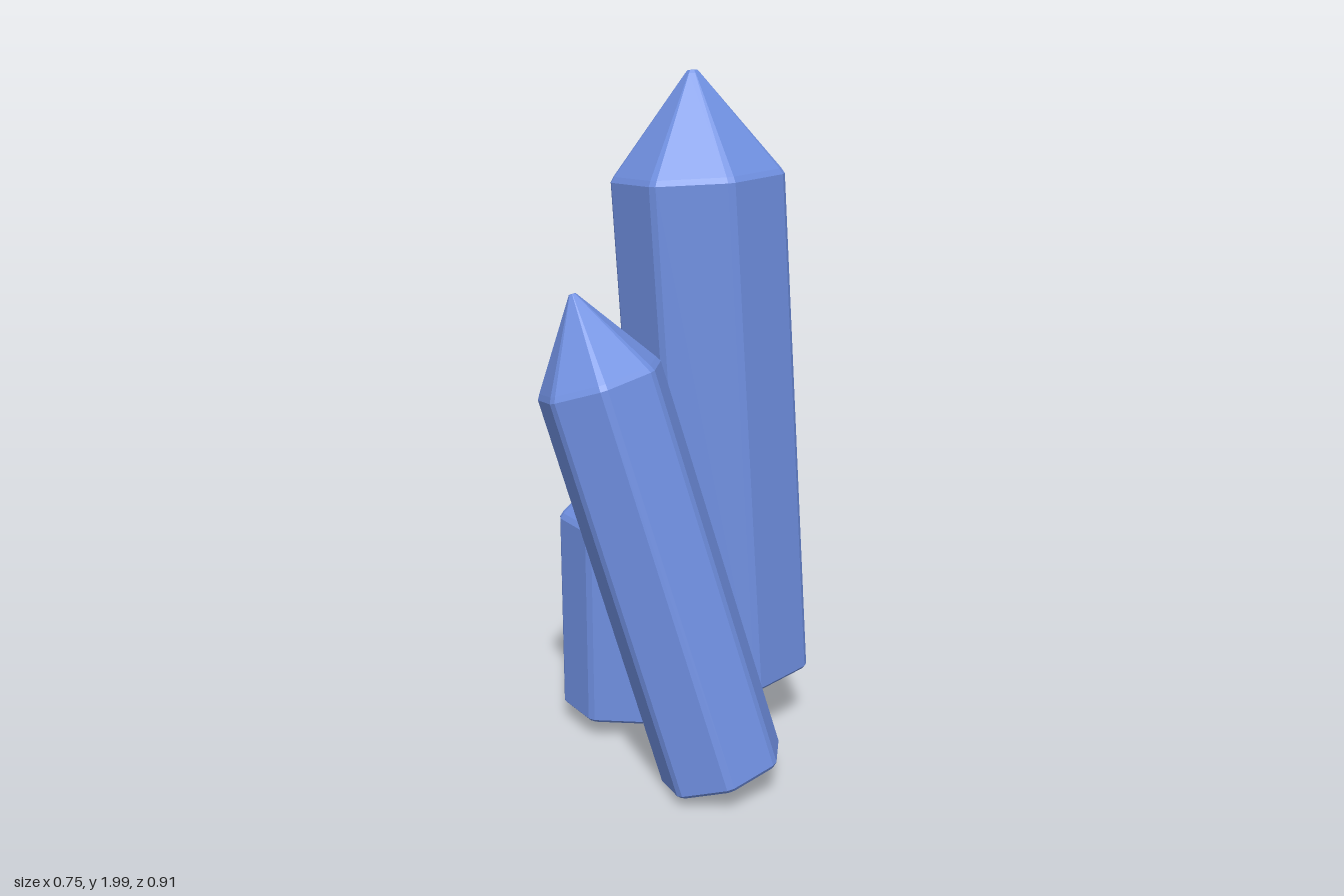
import * as THREE from 'three';

const SIDES = 7;

// Seven-sided outline of radius 1 with each corner clipped by a narrow bevel
function outline(bevel, phase) {
  const corner = i => new THREE.Vector2().setFromUnitLength
    ? null
    : new THREE.Vector2(Math.sin(phase + i * 2 * Math.PI / SIDES), Math.cos(phase + i * 2 * Math.PI / SIDES));
  const edge = 2 * Math.sin(Math.PI / SIDES), pts = [];
  for (let i = 0; i < SIDES; i++) {
    const c = corner(i);
    pts.push(c.clone().lerp(corner(i - 1), bevel / edge), c.clone().lerp(corner(i + 1), bevel / edge));
  }
  return pts;
}

// Pointed prism along +y: rings of the outline joined by quads, closed at both ends
function crystalGeometry(radius, length, tip, phase, squashX) {
  const section = outline(0.012 / radius, phase), n = section.length;
  const b = 0.01;
  const rings = [
    [0, 0], [0, 1 - b / radius], [b, 1],                          // beveled base
    [length - b, 1], [length + b * 0.6, 1 - b / radius],          // beveled shoulder
    [length + tip - 0.008, 0.085], [length + tip, 0.055], [length + tip, 0], // blunt tip
  ];
  const pos = [], index = [];
  for (const [y, s] of rings)
    for (const p of section) pos.push(p.x * radius * s * squashX, y, p.y * radius * s);
  for (let r = 0; r < rings.length - 1; r++)
    for (let i = 0; i < n; i++) {
      const a = r * n + i, c = r * n + (i + 1) % n;
      if (r > 0) index.push(a, c, a + n);
      if (r < rings.length - 2) index.push(c, c + n, a + n);
    }
  const g = new THREE.BufferGeometry();
  g.setAttribute('position', new THREE.Float32BufferAttribute(pos, 3));
  g.setIndex(index);
  g.computeVertexNormals();
  return g;
}

export function createModel() {
  const group = new THREE.Group();
  group.name = 'crystalCluster';
  const material = new THREE.MeshStandardMaterial({ color: 0x6f8fe0, flatShading: true });

  // Each crystal runs from the centre of its base to the centre of its shoulder
  const crystals = [
    { name: 'tallCrystal', base: [0.125, 0.185, -0.202], shoulder: [0.032, 1.71, -0.202], radius: 0.26, tip: 0.29, phase: Math.PI, squashX: 1 },
    { name: 'leaningCrystal', base: [0.145, 0.058, 0.26], shoulder: [-0.207, 1.19, 0.205], radius: 0.197, tip: 0.243, phase: -Math.PI / 2, squashX: 0.94 },
    { name: 'shortCrystal', base: [-0.19, 0.065, -0.163], shoulder: [-0.19, 0.69, -0.148], radius: 0.196, tip: 0.18, phase: Math.PI, squashX: 1 },
  ];
  for (const c of crystals) {
    const base = new THREE.Vector3(...c.base);
    const axis = new THREE.Vector3(...c.shoulder).sub(base);
    const mesh = new THREE.Mesh(crystalGeometry(c.radius, axis.length(), c.tip, c.phase, c.squashX), material);
    mesh.name = c.name;
    mesh.position.copy(base);
    mesh.quaternion.setFromUnitVectors(new THREE.Vector3(0, 1, 0), axis.normalize());
    group.add(mesh);
  }
  return group;
}
